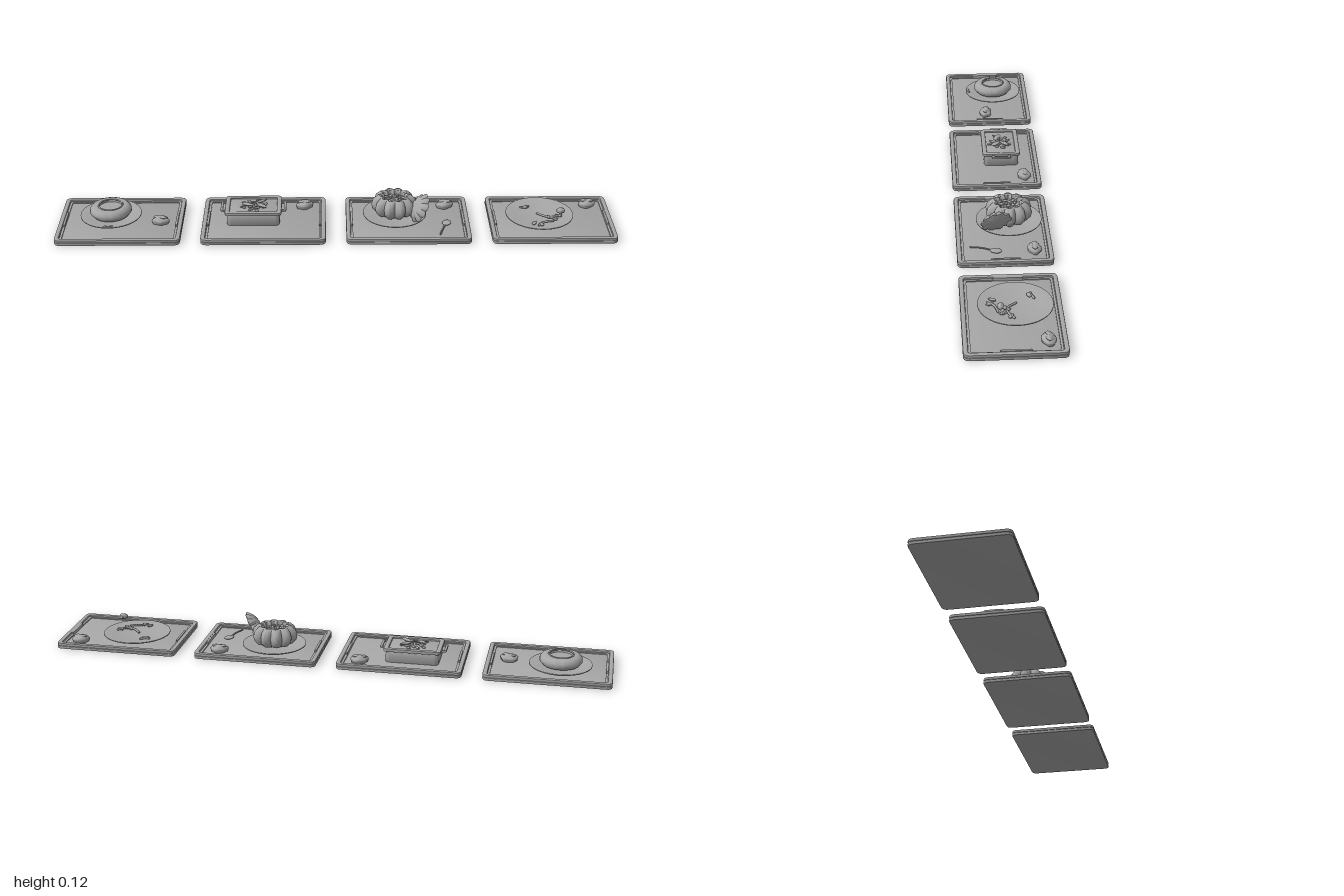
import * as THREE from 'three';
import { toCreasedNormals, mergeVertices } from 'three/addons/utils/BufferGeometryUtils.js';

const clay = new THREE.MeshStandardMaterial({ color: 0xa6a6a6 });
clay.name = 'clay grey';
clay.side = THREE.DoubleSide;

let seed = 7;
const rnd = () => (seed = (seed * 16807) % 2147483647) / 2147483647;

function add(parent, name, geo, x = 0, y = 0, z = 0) {
  const m = new THREE.Mesh(geo, clay);
  m.name = name;
  m.position.set(x, y, z);
  parent.add(m);
  return m;
}

// Rounded rectangle outline for trays and dishes
function roundRect(w, d, r, T = THREE.Shape) {
  const s = new T(), a = w / 2, b = d / 2;
  s.moveTo(-a + r, -b);
  s.lineTo(a - r, -b).quadraticCurveTo(a, -b, a, -b + r);
  s.lineTo(a, b - r).quadraticCurveTo(a, b, a - r, b);
  s.lineTo(-a + r, b).quadraticCurveTo(-a, b, -a, b - r);
  s.lineTo(-a, -b + r).quadraticCurveTo(-a, -b, -a + r, -b);
  return s;
}

// Horizontal slab or rim standing on y = 0, with softened edges
function slab(w, d, h, r, bevel, wall = 0) {
  const s = roundRect(w - 2 * bevel, d - 2 * bevel, r);
  if (wall) s.holes.push(roundRect(w - 2 * wall, d - 2 * wall, r * 0.6, THREE.Path));
  const g = new THREE.ExtrudeGeometry(s, {
    depth: h - 2 * bevel, bevelEnabled: bevel > 0, bevelSize: bevel,
    bevelThickness: bevel, bevelSegments: 2, curveSegments: 5,
  });
  g.rotateX(-Math.PI / 2).translate(0, bevel, 0);
  return toCreasedNormals(g, 0.7);
}

// Lathe whose radius swells into vertical lobes
function lobed(points, lobes = 0, amp = 0, seg = 48) {
  let g = new THREE.LatheGeometry(points.map(p => new THREE.Vector2(...p)), seg);
  const p = g.attributes.position;
  for (let i = 0; lobes && i < p.count; i++) {
    const k = 1 + amp * (Math.abs(Math.cos(Math.atan2(p.getZ(i), p.getX(i)) * lobes / 2)) - 0.7);
    p.setX(i, p.getX(i) * k);
    p.setZ(i, p.getZ(i) * k);
  }
  g.deleteAttribute('uv');
  g.deleteAttribute('normal');
  g = mergeVertices(g, 1e-5);
  return toCreasedNormals(g, 0.8);
}

// Irregular squashed lump, used for rolls and morsels
function lump(rx, ry, rz, wobble = 0.12) {
  const g = new THREE.SphereGeometry(1, 20, 12), p = g.attributes.position, ph = rnd() * 6;
  for (let i = 0; i < p.count; i++) {
    const x = p.getX(i), y = p.getY(i), z = p.getZ(i);
    const k = 1 + wobble * Math.sin(4 * x + ph) * Math.cos(5 * z + ph) + wobble * 0.4 * Math.sin(7 * y);
    p.setXYZ(i, x * k * rx, y * k * ry, z * k * rz);
  }
  g.computeVertexNormals();
  return g;
}

function stalk(parent, name, pts, r) {
  const c = new THREE.CatmullRomCurve3(pts.map(q => new THREE.Vector3(...q)));
  add(parent, name, new THREE.TubeGeometry(c, 10, r, 6));
  const ends = [pts[0], pts[pts.length - 1]];
  for (const e of ends) add(parent, name + 'End', new THREE.SphereGeometry(r, 8, 6), ...e);
}

function tray(parent, x) {
  const g = new THREE.Group();
  g.name = 'tray';
  g.position.x = x;
  parent.add(g);
  add(g, 'trayBase', slab(0.445, 0.326, 0.011, 0.018, 0.003));
  add(g, 'trayGroove', slab(0.438, 0.319, 0.004, 0.016, 0, 0.012), 0, 0.009, 0);
  add(g, 'trayRim', slab(0.445, 0.326, 0.011, 0.018, 0.003, 0.013), 0, 0.011, 0);
  add(g, 'innerStep', slab(0.412, 0.293, 0.004, 0.012, 0, 0.008), 0, 0.011, 0);
  // Grip bars on the short sides
  for (const s of [-1, 1]) {
    add(g, 'trayGrip', slab(0.008, 0.1, 0.009, 0.003, 0.001), s * 0.202, 0.014, 0);
  }
  return g;
}

function roll(parent, x, z, yaw) {
  const g = new THREE.Group();
  g.name = 'breadRoll';
  g.position.set(x, 0.011, z);
  g.rotation.y = yaw;
  parent.add(g);
  add(g, 'rollBody', lump(0.031, 0.017, 0.023), 0, 0.01, 0);
  for (const s of [-1, 1]) add(g, 'rollCrust', lump(0.014, 0.005, 0.009), s * 0.011, 0.023, s * 0.003);
}

function plate(parent, x, z, r) {
  const pts = [[0, 0.011], [r * 0.6, 0.011], [r * 0.75, 0.016], [r, 0.028], [r, 0.031],
    [r * 0.96, 0.031], [r * 0.72, 0.024], [0, 0.022]];
  add(parent, 'plate', lobed(pts), x, 0, z);
}

// Small scattered pieces of food on a disc
function morsels(parent, n, x, y, z, r, size) {
  for (let i = 0; i < n; i++) {
    const a = i * 2.4, d = r * Math.sqrt((i + 0.5) / n);
    const m = add(parent, 'morsel', lump(size * (0.7 + rnd()), size * 0.55, size * 0.7),
      x + Math.cos(a) * d, y, z + Math.sin(a) * d);
    m.rotation.y = rnd() * 6;
  }
}

export function createModel() {
  const model = new THREE.Group();
  model.name = 'mealTrays';
  const [soup, bake, squash, salad] = [-0.7775, -0.26, 0.2585, 0.7775].map(x => tray(model, x));

  // Round soup bowl with a rolled, bulging wall
  plate(soup, -0.04, -0.024, 0.11);
  add(soup, 'soupBowl', lobed([[0, 0.024], [0.045, 0.024], [0.065, 0.03], [0.075, 0.042], [0.074, 0.054],
    [0.066, 0.063], [0.055, 0.067], [0.046, 0.066], [0.042, 0.06], [0.042, 0.056], [0, 0.056]]), -0.04, 0, -0.024);
  add(soup, 'bowlRing', new THREE.TorusGeometry(0.043, 0.003, 6, 40).rotateX(Math.PI / 2), -0.04, 0.066, -0.024);
  for (const [x, z] of [[-0.05, 0.077], [-0.038, 0.079], [-0.03, 0.074]]) {
    add(soup, 'garnish', lump(0.007, 0.003, 0.005), x, 0.031, z);
  }
  roll(soup, 0.143, 0.013, 0);

  // Rectangular baking dish with handles and a topped filling
  const dish = new THREE.Group();
  dish.name = 'bakingDish';
  dish.position.set(-0.039, 0.011, -0.024);
  bake.add(dish);
  add(dish, 'dishBody', slab(0.19, 0.128, 0.042, 0.012, 0.004));
  add(dish, 'dishRim', slab(0.204, 0.14, 0.012, 0.012, 0.003, 0.014), 0, 0.042, 0);
  add(dish, 'filling', slab(0.176, 0.112, 0.008, 0.01, 0.003), 0, 0.04, 0);
  for (const s of [-1, 1]) {
    const h = add(dish, 'dishHandle', slab(0.026, 0.07, 0.008, 0.008, 0.002, 0.007), s * 0.106, 0.041, 0);
    h.rotation.y = s > 0 ? 0 : Math.PI;
  }
  morsels(dish, 14, 0, 0.05, 0, 0.045, 0.008);
  for (const [x, z, a] of [[0.025, -0.015, 0.6], [-0.02, 0.01, -0.4], [0.03, 0.018, -0.8]]) {
    const leaf = add(dish, 'herbLeaf', lump(0.024, 0.004, 0.01), x, 0.06, z);
    leaf.rotation.y = a;
  }
  stalk(dish, 'herbStem', [[-0.045, 0.056, 0.022], [0, 0.063, 0], [0.045, 0.06, -0.028]], 0.003);
  roll(bake, 0.145, -0.104, 0.3);

  // Hollow squash with its cut lid leaning against it
  plate(squash, -0.045, -0.025, 0.115);
  add(squash, 'squashBowl', lobed([[0, 0.027], [0.04, 0.026], [0.062, 0.034], [0.075, 0.05], [0.078, 0.066],
    [0.073, 0.084], [0.06, 0.097], [0.05, 0.1], [0.044, 0.096], [0.042, 0.082], [0, 0.082]], 10, 0.22, 80),
    -0.047, 0, -0.025);
  morsels(squash, 15, -0.047, 0.085, -0.025, 0.037, 0.008);
  const lid = add(squash, 'squashLid', lobed([[0, -0.022], [0.014, -0.022], [0.036, -0.015], [0.051, -0.002],
    [0.053, 0.004], [0.05, 0.006], [0, 0.006]], 10, 0.18, 80), 0.042, 0.073, 0.024);
  lid.quaternion.setFromUnitVectors(new THREE.Vector3(0, 1, 0), new THREE.Vector3(0.84, -0.5, -0.2).normalize());
  roll(squash, 0.142, -0.102, 0.2);
  add(squash, 'spoonBowl', lump(0.016, 0.004, 0.021, 0), 0.141, 0.016, 0.03).rotation.y = -0.35;
  stalk(squash, 'spoonHandle', [[0.136, 0.016, 0.045], [0.126, 0.019, 0.075], [0.113, 0.016, 0.115]], 0.003);

  // Flat plate with scattered leftovers
  plate(salad, -0.038, -0.013, 0.122);
  const twigs = [
    [[-0.05, 0.028, 0.075], [-0.03, 0.03, 0.055], [0.005, 0.03, 0.045]],
    [[-0.045, 0.028, -0.015], [-0.02, 0.03, 0.01], [0.02, 0.031, 0.03]],
    [[-0.01, 0.03, 0.02], [0.02, 0.031, 0.01], [0.04, 0.029, -0.005]],
    [[-0.1, 0.027, -0.065], [-0.085, 0.028, -0.068], [-0.07, 0.027, -0.075]],
  ];
  twigs.forEach(t => stalk(salad, 'greenStalk', t, 0.004));
  for (const [x, z] of [[-0.085, -0.06], [-0.04, 0.068], [-0.005, 0.015], [0.012, 0.028], [0.03, 0.005], [-0.065, 0.06]]) {
    add(salad, 'leafPiece', lump(0.013, 0.004, 0.007), x, 0.029, z).rotation.y = rnd() * 3;
  }
  // Bite held above the plate
  add(salad, 'raisedBite', lump(0.015, 0.01, 0.011), 0.03, 0.068, 0.038);
  add(salad, 'raisedBiteTip', lump(0.009, 0.006, 0.007), 0.036, 0.066, 0.025);
  roll(salad, 0.15, -0.104, 0.25);

  return model;
}
